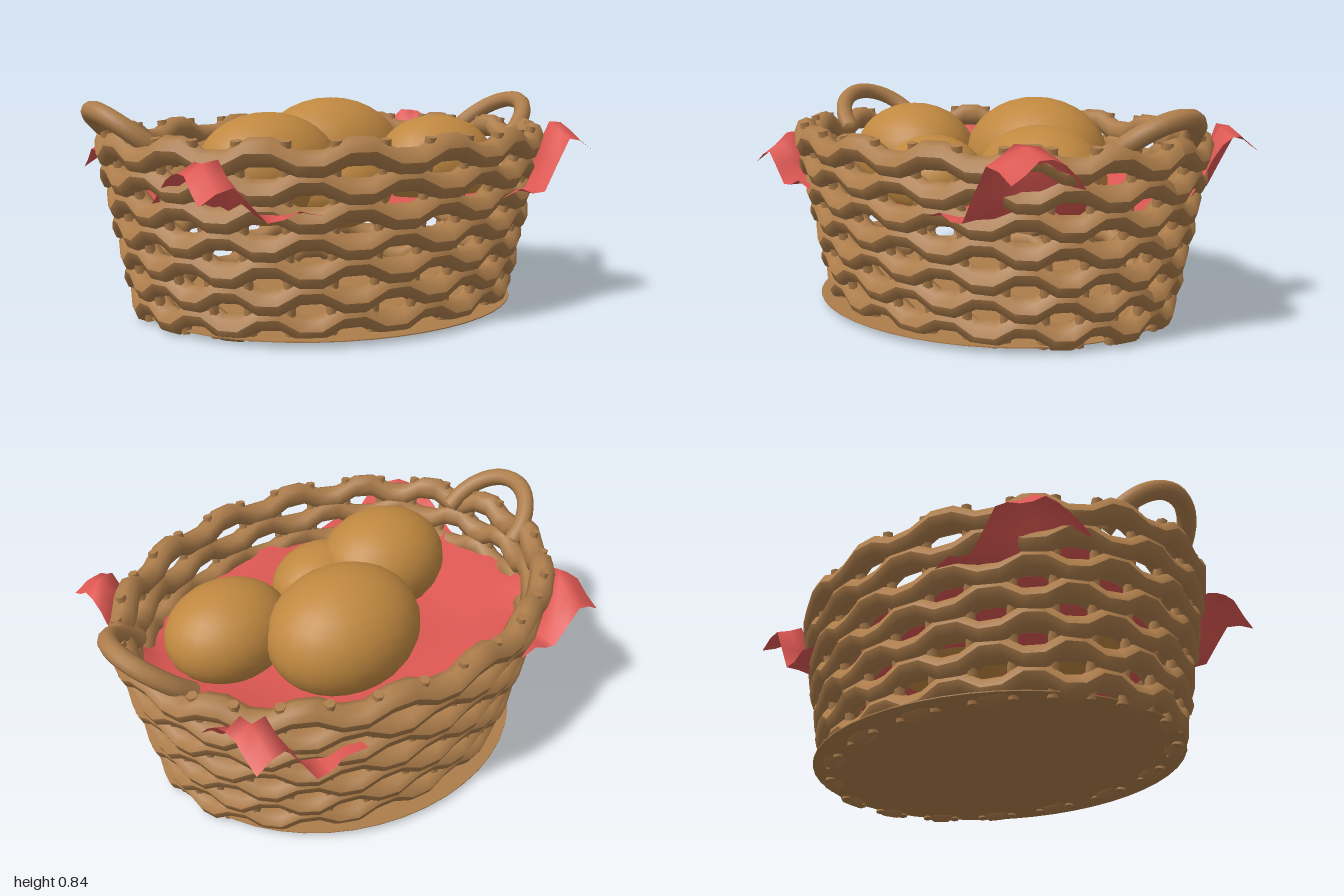
import * as THREE from 'three';

const mat = (name, color, side = THREE.FrontSide) => {
  const m = new THREE.MeshStandardMaterial({ color, side });
  m.name = name;
  return m;
};

const STAKES = 32, ROWS = 7, SAMPLES = 64;

// Half-axes of the basket wall; t runs from the bottom row (0) to the rim (1)
const wallA = t => 0.775 + 0.118 * t;
const wallB = t => 0.58 + 0.113 * t;

// One woven row: a torus bent onto the oval, waving up and down between the stakes
function rowGeometry(i) {
  const t = i / (ROWS - 1), sign = i % 2 ? -1 : 1;
  const g = new THREE.TorusGeometry(1, 0.05, 8, SAMPLES);
  const p = g.attributes.position;
  for (let k = 0; k < p.count; k++) {
    const x = p.getX(k), y = p.getY(k), up = p.getZ(k);
    const out = Math.hypot(x, y) - 1;
    const a = -Math.atan2(y, x) - Math.PI / SAMPLES;
    const wave = -sign * 0.03 * Math.sin(16 * a);
    const r = out + sign * 0.003 * Math.cos(16 * a);
    p.setXYZ(k, (wallA(t) + r) * Math.cos(a), 0.071 + 0.0985 * i + up + wave, (wallB(t) + r) * Math.sin(a));
  }
  g.computeVertexNormals();
  return g;
}

const smooth = (a, b, v) => THREE.MathUtils.smoothstep(v, a, b);

// Height of the cloth: a shallow bowl whose corners rise over the rim and droop outside it
function clothHeight(x, z) {
  const ax = Math.abs(x), az = Math.abs(z);
  const e = (x / 0.87) ** 2 + (z / 0.67) ** 2;
  const bowl = 0.42 + 0.06 * smooth(0.2, 1, e) + 0.012 * Math.sin(9 * x + 2) * Math.cos(8 * z + 1);
  const corner = smooth(1, 1.25, e) * smooth(0.55, 0.74, ax) * smooth(0.15, 0.5, az);
  const droop = (x > 0 ? 0.07 : 0.09) * smooth(0.5, 0.635, az);
  const fold = 0.03 * smooth(0.95, 1.3, e) * Math.cos(24 * (ax - 0.72));
  const side = 0.09 * smooth(0.15, 0.35, az) * smooth(0.65, 0.83, ax) * (1 - corner);
  const top = (x > 0 ? 0.73 : 0.65) - droop;
  return bowl + (top - bowl) * corner + fold + side;
}

export function createModel() {
  const wicker = mat('wicker', 0xad7d4b);
  const crust = mat('bread crust', 0xc08840);
  const linen = mat('red linen', 0xde5853, THREE.DoubleSide);

  const model = new THREE.Group();
  model.name = 'breadBasket';
  const add = (name, geometry, material, parent = model) => {
    const m = new THREE.Mesh(geometry, material);
    m.name = name;
    parent.add(m);
    return m;
  };

  // Woven wall
  const wall = new THREE.Group();
  wall.name = 'wovenWall';
  model.add(wall);
  for (let i = 0; i < ROWS; i++) add(i === ROWS - 1 ? 'rim' : 'wovenRow', rowGeometry(i), wicker, wall);

  // Upright stakes, leaning out with the wall and just showing above the rim
  for (let i = 0; i < STAKES; i++) {
    const a = (i / STAKES) * Math.PI * 2, c = Math.cos(a), s = Math.sin(a);
    const foot = new THREE.Vector3(wallA(0) * c, 0.012, wallB(0) * s);
    const tip = new THREE.Vector3((wallA(1) + 0.008) * c, 0.722, (wallB(1) + 0.008) * s);
    const dir = tip.clone().sub(foot);
    const stake = add('stake', new THREE.CylinderGeometry(0.02, 0.02, dir.length(), 6), wicker, wall);
    stake.position.copy(foot).add(tip).multiplyScalar(0.5);
    stake.quaternion.setFromUnitVectors(new THREE.Vector3(0, 1, 0), dir.normalize());
  }

  // Oval base
  const base = add('base', new THREE.CylinderGeometry(1, 1, 0.004, 48), wicker);
  base.scale.set(0.78, 1, 0.68);
  base.position.y = 0.024;

  // Arched handles, tilted outwards at both ends
  for (const side of [1, -1]) {
    const pts = [];
    for (let k = 0; k <= 10; k++) {
      const a = (k / 10) * Math.PI;
      const s = Math.sin(a);
      pts.push(new THREE.Vector3(side * (0.785 + 0.18 * s), 0.655 + 0.15 * s, 0.19 * Math.cos(a)));
    }
    add(side > 0 ? 'leftHandle' : 'rightHandle',
      new THREE.TubeGeometry(new THREE.CatmullRomCurve3(pts), 24, 0.036, 10), wicker);
  }

  // Cloth lining
  const cloth = new THREE.PlaneGeometry(1.66, 1.27, 28, 22);
  cloth.rotateX(-Math.PI / 2);
  const p = cloth.attributes.position;
  for (let k = 0; k < p.count; k++) p.setY(k, clothHeight(p.getX(k), p.getZ(k)));
  cloth.computeVertexNormals();
  add('cloth', cloth, linen);

  // Bread rolls: centre x, y, z and half-sizes
  const rolls = [
    [0.095, 0.58, -0.15, 0.32, 0.245, 0.265],
    [-0.345, 0.575, 0.14, 0.28, 0.215, 0.24],
    [-0.1, 0.51, 0.23, 0.23, 0.17, 0.2],
    [0.435, 0.56, 0.14, 0.26, 0.195, 0.22],
  ];
  for (const [x, y, z, rx, ry, rz] of rolls) {
    const roll = add('breadRoll', new THREE.SphereGeometry(1, 24, 16), crust);
    roll.position.set(x, y, z);
    roll.scale.set(rx, ry, rz);
  }
  return model;
}
